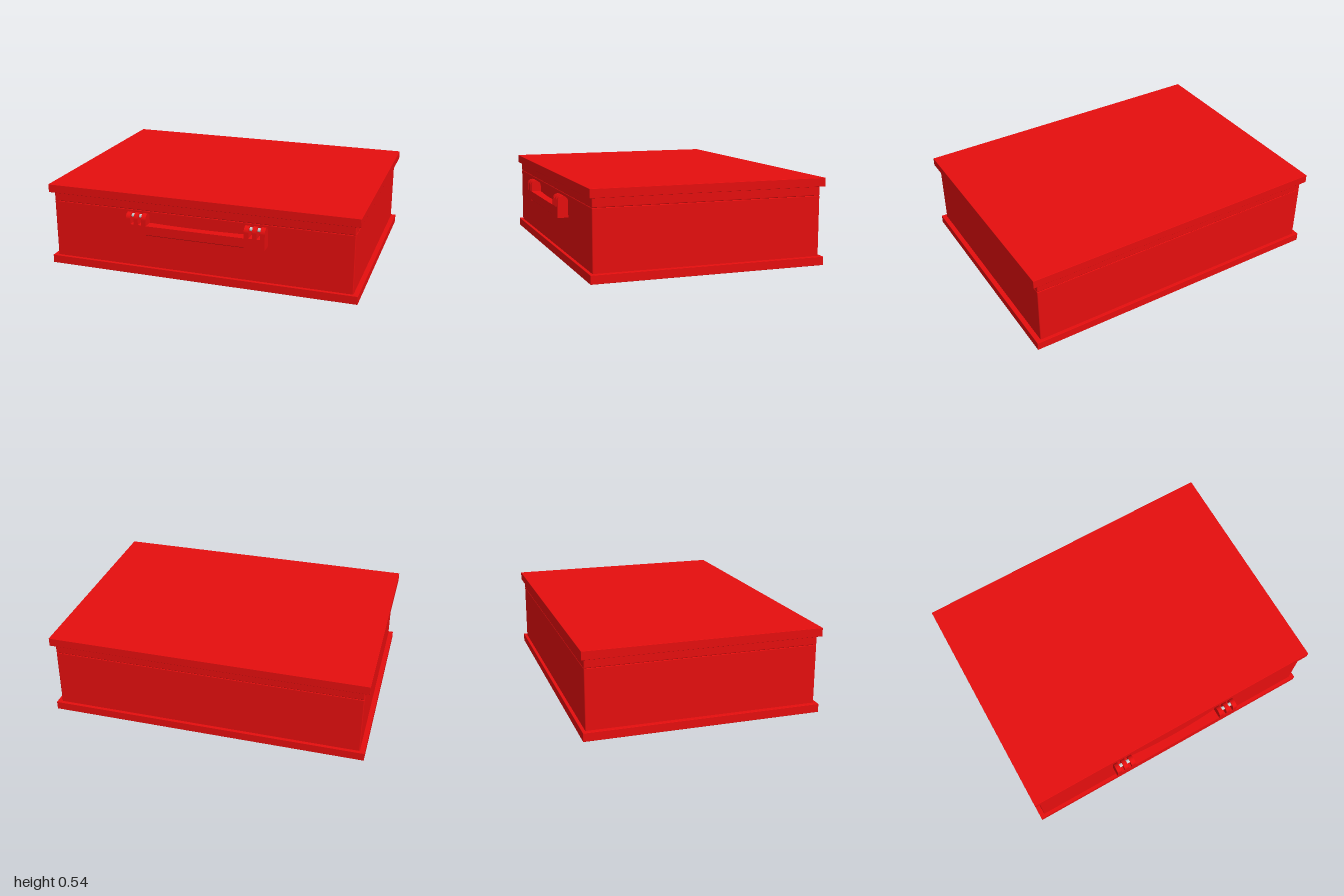
import * as THREE from 'three';
import { RoundedBoxGeometry } from 'three/addons/geometries/RoundedBoxGeometry.js';

const red = new THREE.MeshStandardMaterial({ color: 0xe60e0e });
const grey = new THREE.MeshStandardMaterial({ color: 0xcccccc });

function add(parent, name, geometry, material = red) {
  const mesh = new THREE.Mesh(geometry, material);
  mesh.name = name;
  parent.add(mesh);
  return mesh;
}

// Box given by half width, bottom, top, back and front, with fine softened edges
function slab(parent, name, halfW, y0, y1, z0, z1, r = 0.004) {
  const mesh = add(parent, name, new RoundedBoxGeometry(2 * halfW, y1 - y0, z1 - z0, 2, r));
  mesh.position.set(0, (y0 + y1) / 2, (z0 + z1) / 2);
}

// Side profile (z, y) extruded along x from x0 to x1
function alongX(shape, x0, x1) {
  const g = new THREE.ExtrudeGeometry(shape, { depth: x1 - x0, bevelEnabled: false, curveSegments: 12 });
  return g.rotateY(-Math.PI / 2).translate(x1, 0, 0);
}

export function createModel() {
  const model = new THREE.Group();
  model.name = 'case';

  // Case shell
  slab(model, 'basePlate', 1, 0, 0.053, -0.755, 0.71, 0.002);
  slab(model, 'body', 0.97, 0.045, 0.425, -0.735, 0.69, 0.006);
  slab(model, 'lidRim', 0.97, 0.423, 0.49, -0.735, 0.69, 0.006);
  slab(model, 'lidPlate', 1, 0.482, 0.535, -0.755, 0.71, 0.002);

  // Handle
  const handle = new THREE.Group();
  handle.name = 'handle';
  model.add(handle);

  const back = 0.691, front = 0.757, mid = (back + front) / 2, r = (front - back) / 2;
  const bottom = 0.287, slotFloor = 0.352, top = 0.42;

  // Arched end block profile, and the lower one left under each slot
  const arch = new THREE.Shape();
  arch.moveTo(back, bottom);
  arch.lineTo(front, bottom);
  arch.lineTo(front, top - r);
  arch.absarc(mid, top - r, r, 0, Math.PI, false);
  arch.closePath();
  const low = new THREE.Shape([
    new THREE.Vector2(back, bottom), new THREE.Vector2(front, bottom),
    new THREE.Vector2(front, slotFloor), new THREE.Vector2(back, slotFloor),
  ]);

  const cuts = [0.315, 0.344, 0.366, 0.394, 0.416, 0.445];
  for (const side of [-1, 1]) {
    const end = new THREE.Group();
    end.name = side > 0 ? 'leftHandleEnd' : 'rightHandleEnd';
    handle.add(end);
    for (let i = 0; i < cuts.length - 1; i++) {
      const slot = i % 2 === 1;
      const xs = [side * cuts[i], side * cuts[i + 1]].sort((a, b) => a - b);
      add(end, slot ? 'slotFloor' : 'endRib', alongX(slot ? low : arch, xs[0], xs[1]));
      if (slot) {
        // Metal hinge pin crossing the slot
        const pin = add(end, 'hingePin',
          new THREE.CylinderGeometry(0.012, 0.012, xs[1] - xs[0], 16).rotateZ(Math.PI / 2), grey);
        pin.position.set((xs[0] + xs[1]) / 2, 0.4, 0.722);
      }
    }
  }

  // Grip with a gently bowed inner side
  const grip = new THREE.Shape();
  grip.moveTo(-0.32, back);
  grip.quadraticCurveTo(0, back + 0.028, 0.32, back);
  grip.lineTo(0.32, front);
  grip.lineTo(-0.32, front);
  grip.closePath();
  add(handle, 'grip', new THREE.ExtrudeGeometry(grip, { depth: 0.057, bevelEnabled: false, curveSegments: 16 })
    .rotateX(Math.PI / 2).translate(0, 0.35, 0));

  // Chamfered underside of the grip
  const chamfer = new THREE.Shape([
    new THREE.Vector2(back + 0.014, bottom), new THREE.Vector2(front - 0.007, bottom),
    new THREE.Vector2(front, 0.293), new THREE.Vector2(back + 0.014, 0.293),
  ]);
  add(handle, 'gripUnderside', alongX(chamfer, -0.32, 0.32));

  return model;
}
